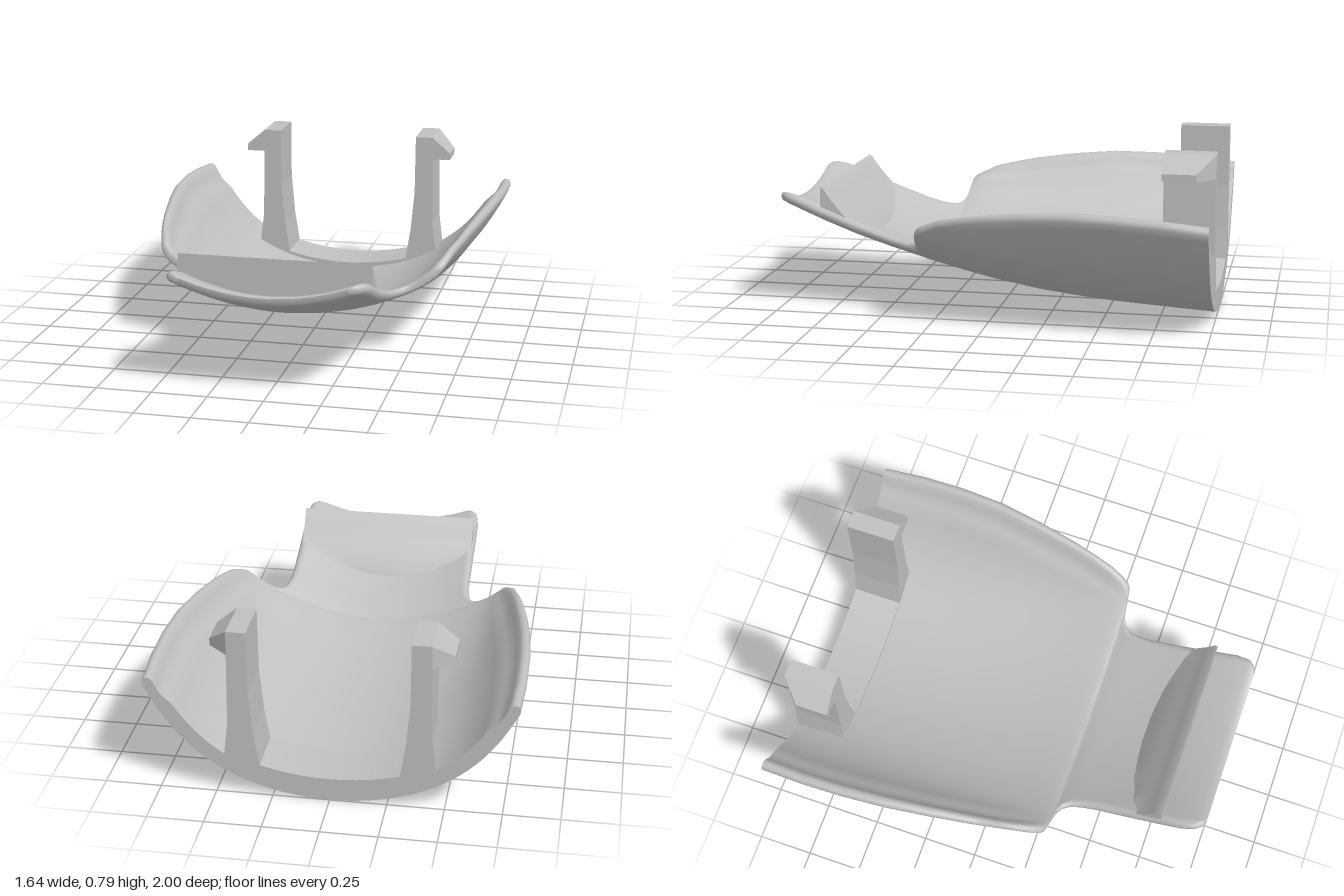
import * as THREE from 'three';
import { toCreasedNormals } from 'three/addons/utils/BufferGeometryUtils.js';
import { ConvexGeometry } from 'three/addons/geometries/ConvexGeometry.js';

// Shallow curve of the floor across x
const bowl = x => 0.48 * x * x;

// Stations along the shell: z, keel height, half width, thickness, extra height of the side wall
const stations = [
  [-1, 0, 0.813, 0.07, 0.195], [-0.8, 0.012, 0.823, 0.07, 0.195], [-0.6, 0.025, 0.821, 0.07, 0.196],
  [-0.4, 0.042, 0.807, 0.07, 0.193], [-0.2, 0.068, 0.778, 0.065, 0.176], [0, 0.105, 0.741, 0.058, 0.143],
  [0.1, 0.128, 0.719, 0.052, 0.118], [0.2, 0.153, 0.695, 0.047, 0.088], [0.26, 0.169, 0.677, 0.043, 0.055],
  [0.295, 0.178, 0.662, 0.04, 0.037], [0.31, 0.182, 0.642, 0.037, 0.03], [0.318, 0.184, 0.58, 0.034, 0.03],
  [0.326, 0.187, 0.53, 0.034, 0.03], [0.345, 0.193, 0.49, 0.036, 0.03], [0.38, 0.203, 0.466, 0.04, 0.03],
  [0.43, 0.217, 0.455, 0.043, 0.03], [0.5, 0.238, 0.45, 0.047, 0.03], [0.65, 0.286, 0.45, 0.055, 0.03],
  [0.8, 0.343, 0.451, 0.061, 0.03], [0.9, 0.385, 0.45, 0.055, 0.03], [0.96, 0.411, 0.438, 0.047, 0.03],
  [0.987, 0.424, 0.416, 0.038, 0.03], [1, 0.438, 0.383, 0.022, 0.03],
];

// Skin closed rings of equal size; end caps join point i to point size - i
function loft(rings, crease) {
  const size = rings[0].length, last = (rings.length - 1) * size, idx = [];
  for (let k = 0; k < rings.length - 1; k++) {
    for (let i = 0; i < size; i++) {
      const j = (i + 1) % size, a = k * size, b = a + size;
      idx.push(a + i, a + j, b + j, a + i, b + j, b + i);
    }
  }
  const tri = (a, b, c) => idx.push(last + a, last + b, last + c, a, c, b);
  for (let i = 0; i < size / 2; i++) {
    if (i + 1 < size / 2) tri(i, i + 1, size - i - 1);
    if (i > 0) tri(i, size - i - 1, size - i);
  }
  const g = new THREE.BufferGeometry();
  g.setAttribute('position', new THREE.Float32BufferAttribute(rings.flat(2), 3));
  g.setIndex(idx);
  return toCreasedNormals(g, crease);
}

// One cross-section of the shell with rounded rims
function shellRing([z, keel, half, thick, wallHeight]) {
  const n = 48, bulge = Math.min(0.025, thick * 0.5);
  // The side wall curls up more sharply towards the front
  const reach = Math.max(half, 0.66), power = THREE.MathUtils.mapLinear(THREE.MathUtils.clamp(z, -0.4, 0.25), -0.4, 0.25, 5.5, 10);
  const rise = x => bowl(x) + wallHeight * Math.pow(Math.abs(x) / reach, power);
  const slope = x => 0.96 * x + Math.sign(x) * wallHeight * power / reach * Math.pow(Math.abs(x) / reach, power - 1);
  const edge = half - bulge / (1 + slope(half) ** 2);
  // The wall gets thinner at the rim of the wide part
  const wall = x => thick * (1 - 0.3 * THREE.MathUtils.smoothstep(Math.abs(x), edge - 0.07, edge - 0.03)
    * THREE.MathUtils.smoothstep(half, 0.66, 0.72));
  // Point at x, moved inward along the normal and outward along the tangent
  const point = (x, inward, along) => {
    const s = slope(x), len = Math.hypot(1, s);
    return [x + (along - s * inward) / len, keel + rise(x) + (inward + s * along) / len, z];
  };
  const rim = (side, angle) => point(side * edge, wall(edge) * (1 - Math.cos(angle)) / 2, side * bulge * Math.sin(angle));
  const at = i => edge * Math.sin((i / n - 0.5) * Math.PI * 0.8) / Math.sin(Math.PI * 0.4);
  const lower = [], upper = [];
  for (let i = 0; i <= n; i++) {
    lower.push(point(at(i), 0, 0));
    upper.unshift(point(at(i), wall(at(i)), 0));
  }
  const q = Math.PI / 4;
  return [rim(-1, 2 * q), rim(-1, q), ...lower, rim(1, q), rim(1, 2 * q), rim(1, 3 * q), ...upper, rim(-1, 3 * q)];
}

// One cross-section of the lip: upright at the front, sloping back into the floor
function lipRing(x) {
  const floor = z => 0.341 + 0.38 * (z - 0.65) + bowl(x);
  const profile = [[0.8, 0.575], [0.785, 0.565], [0.75, 0.515], [0.71, 0.468], [0.67, 0.425], [0.63, 0.37], [0.6, 0.325]];
  const lower = profile.map(([z]) => [x, floor(z) - 0.03, z]);
  const upper = profile.map(([z, y]) => [x, Math.max(y, floor(z) - 0.015), z]).reverse();
  return [[x, floor(0.8), 0.8], ...lower, [x, floor(0.59) - 0.02, 0.59], ...upper];
}

// Extrude an outline of [x, y] points from z0 to z1
function prism(points, z0, z1) {
  const shape = new THREE.Shape(points.map(p => new THREE.Vector2(...p)));
  return new THREE.ExtrudeGeometry(shape, { depth: z1 - z0, bevelEnabled: false }).translate(0, 0, z0);
}

export function createModel() {
  const model = new THREE.Group();
  const grey = new THREE.MeshStandardMaterial({ color: 0xc0c0c0 });
  grey.name = 'lightGrey';
  const add = (name, geometry) => {
    const mesh = new THREE.Mesh(geometry, grey);
    mesh.name = name;
    model.add(mesh);
  };

  add('shell', loft(stations.map(shellRing), 0.95));

  // Raised pad between the posts
  const pad = [[0.34, 0.1], [0, 0.03], [-0.34, 0.1]];
  for (let i = -6; i <= 6; i++) {
    const x = i * 0.34 / 6;
    pad.push([x, 0.105 + 0.45 * x * x]);
  }
  add('pad', prism(pad, -1, -0.77));

  // Ramped cross lip near the front
  const lipRings = [];
  for (let i = -8; i <= 8; i++) lipRings.push(lipRing(i * 0.43 / 8));
  add('lip', loft(lipRings, 0.5));

  for (const side of [1, -1]) {
    const name = side > 0 ? 'left' : 'right';
    // Flared clip post
    const post = [[0.295, 0.08], [0.465, 0.16], [0.442, 0.34], [0.435, 0.785], [0.35, 0.785], [0.348, 0.5], [0.33, 0.3]];
    add(name + 'Post', prism(post.map(([x, y]) => [x * side, y]), -1, -0.77));

    // Hook with a sloping top and a cut back corner
    const corners = [[0.435, 0.675, -1], [0.435, 0.785, -1]];
    for (const z of [-0.92, -0.77]) {
      corners.push([0.435, 0.675, z], [0.525, 0.675, z], [0.525, 0.708, z], [0.435, 0.785, z]);
    }
    add(name + 'Hook', new ConvexGeometry(corners.map(([x, y, z]) => new THREE.Vector3(x * side, y, z))));
  }
  return model;
}
